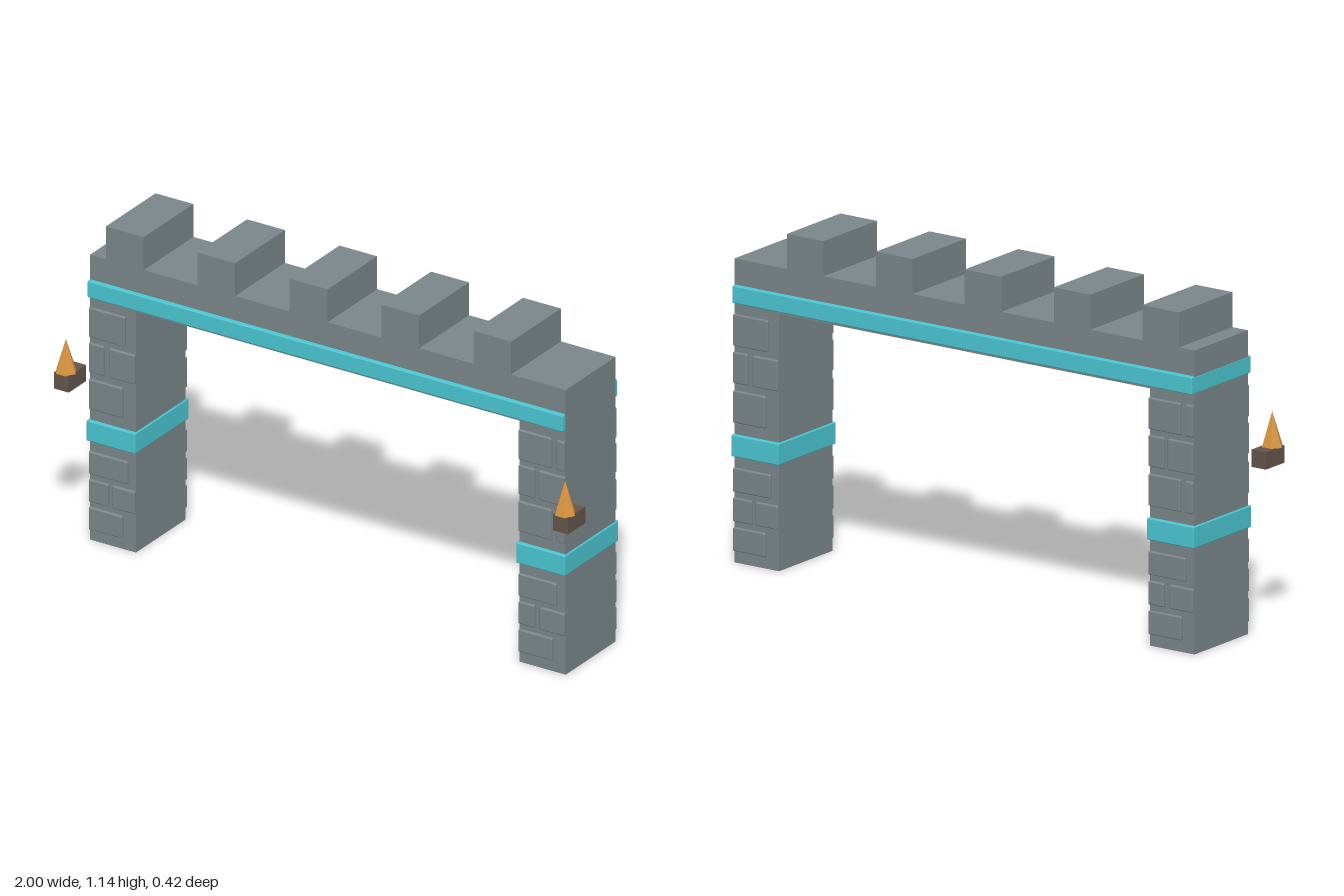
import * as THREE from 'three';
import { RoundedBoxGeometry } from 'three/addons/geometries/RoundedBoxGeometry.js';

const material = (name, color) => {
  const m = new THREE.MeshStandardMaterial({ color });
  m.name = name;
  return m;
};

export function createModel() {
  const stone = material('grey stone', 0x7a868a);
  const trim = material('turquoise trim', 0x4ac6d2);
  const wood = material('dark wood', 0x63554c);
  const fire = material('amber flame', 0xd8943f);

  const model = new THREE.Group();
  model.name = 'gateway';
  const BACK = -0.192, FRONT = 0.102, MID = (BACK + FRONT) / 2;

  // Box given by its limits on each axis, optionally with softened edges
  function block(name, mat, [x0, x1], [y0, y1], [z0, z1], bevel = 0, parent = model) {
    const w = x1 - x0, h = y1 - y0, d = z1 - z0;
    const geo = bevel
      ? new RoundedBoxGeometry(w, h, d, 1, bevel)
      : new THREE.BoxGeometry(w, h, d);
    const mesh = new THREE.Mesh(geo, mat);
    mesh.name = name;
    mesh.position.set((x0 + x1) / 2, (y0 + y1) / 2, (z0 + z1) / 2);
    parent.add(mesh);
    return mesh;
  }

  // Pillars with their wraparound bands
  for (const [x0, x1] of [[-0.92, -0.742], [0.738, 0.916]]) {
    block('pillar', stone, [x0, x1], [0, 0.87], [BACK, FRONT]);
    block('pillarBand', trim, [x0 - 0.006, x1 + 0.005], [0.358, 0.432], [-0.205, 0.115], 0.005);
  }

  // Lintel and the long band around it
  block('lintel', stone, [-0.92, 0.916], [0.865, 1.022], [BACK, FRONT]);
  block('lintelBand', trim, [-0.921, 0.915], [0.875, 0.935], [-0.208, 0.118], 0.005);

  // Battlements
  for (const x of [-0.785, -0.432, -0.076, 0.278, 0.633]) {
    block('merlon', stone, [x - 0.073, x + 0.073], [1.02, 1.14], [BACK, FRONT]);
  }

  // Raised bricks: each row is a height range and the spans it holds
  const rows = [
    [0.73, 0.837, [-0.92, -0.78], [0.738, 0.866], [0.885, 0.916]],
    [0.605, 0.71, [-0.92, -0.862], [-0.842, -0.742], [0.738, 0.8], [0.815, 0.916]],
    [0.472, 0.58, [-0.92, -0.79], [0.738, 0.866], [0.885, 0.916]],
    [0.24, 0.32, [-0.92, -0.77], [0.738, 0.885]],
    [0.14, 0.22, [-0.92, -0.845], [-0.83, -0.742], [0.738, 0.8], [0.82, 0.916]],
    [0.04, 0.12, [-0.92, -0.79], [0.738, 0.87]],
  ];
  for (const turn of [0, Math.PI]) {
    const face = new THREE.Group();
    face.name = turn ? 'backBricks' : 'frontBricks';
    for (const [y0, y1, ...spans] of rows) {
      for (const span of spans) {
        block('brick', stone, span, [y0, y1], [0.137, 0.157], 0.005, face);
      }
    }
    face.rotation.y = turn;
    face.position.set(turn ? -0.003 : 0, 0, MID);
    model.add(face);
  }

  // Torches: bracket and faceted flame beside each pillar
  for (const side of [-1, 1]) {
    const torch = new THREE.Group();
    torch.name = side > 0 ? 'leftTorch' : 'rightTorch';
    block('bracket', wood, [-0.029, 0.029], [0.565, 0.623], [FRONT, 0.205], 0, torch);
    const cone = new THREE.ConeGeometry(0.037, 0.118, 6, 1, false, Math.PI / 6).toNonIndexed();
    cone.computeVertexNormals();
    const flame = new THREE.Mesh(cone, fire);
    flame.name = 'flame';
    flame.position.set(0, 0.681, 0.177);
    torch.add(flame);
    torch.position.x = side * 0.963;
    model.add(torch);
  }

  return model;
}
